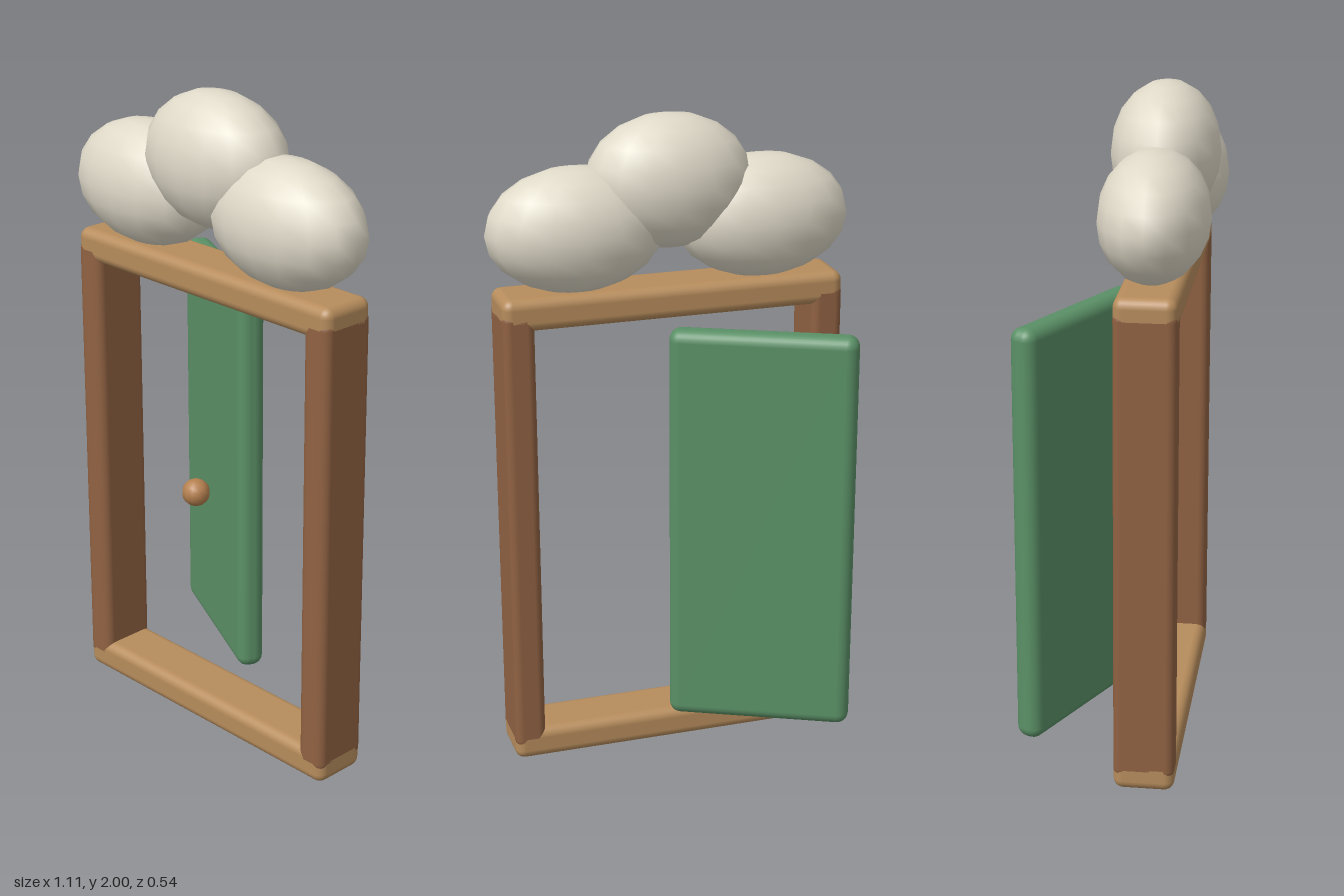
import * as THREE from 'three';
import { RoundedBoxGeometry } from 'three/addons/geometries/RoundedBoxGeometry.js';

export function createModel() {
  const group = new THREE.Group();
  const mat = (name, color) => {
    const m = new THREE.MeshStandardMaterial({ color });
    m.name = name;
    return m;
  };
  const postWood = mat('dark wood', 0x8f6142);
  const railWood = mat('light wood', 0xb68c5c);
  const doorGreen = mat('door green', 0x5a9066);
  const knobWood = mat('knob wood', 0xb5804f);
  const cloudCream = mat('cloud cream', 0xdfd9c8);

  const add = (name, geometry, material, x, y, z) => {
    const mesh = new THREE.Mesh(geometry, material);
    mesh.name = name;
    mesh.position.set(x, y, z);
    group.add(mesh);
    return mesh;
  };

  const cx = 0.003, cz = 0.11;

  // Frame: two posts tucked between two full-width rails
  const post = new RoundedBoxGeometry(0.096, 1.42, 0.18, 3, 0.025);
  add('rightPost', post, postWood, cx - 0.476, 0.75, cz);
  add('leftPost', post, postWood, cx + 0.476, 0.75, cz);
  const rail = new RoundedBoxGeometry(1.048, 0.1, 0.18, 3, 0.03);
  add('bottomRail', rail, railWood, cx, 0.05, cz);
  add('topRail', rail, railWood, cx, 1.45, cz);

  // Door swung open toward the back
  const door = add('door', new RoundedBoxGeometry(0.56, 1.265, 0.083, 3, 0.035),
    doorGreen, -0.218, 0.7525, -0.125);
  door.rotation.y = -0.45;

  // Round knob
  add('knob', new THREE.SphereGeometry(0.043, 12, 10), knobWood, -0.086, 0.735, 0.122);

  // Three cloud puffs resting on the top rail
  const puff = new THREE.SphereGeometry(1, 16, 10);
  [
    ['rightCloudPuff', -0.286, 1.675, 0.27, 0.187],
    ['middleCloudPuff', cx, 1.8, 0.254, 0.2],
    ['leftCloudPuff', 0.286, 1.675, 0.27, 0.187],
  ].forEach(([name, x, y, rx, ry]) => {
    add(name, puff, cloudCream, x, y, cz).scale.set(rx, ry, 0.16);
  });

  return group;
}
